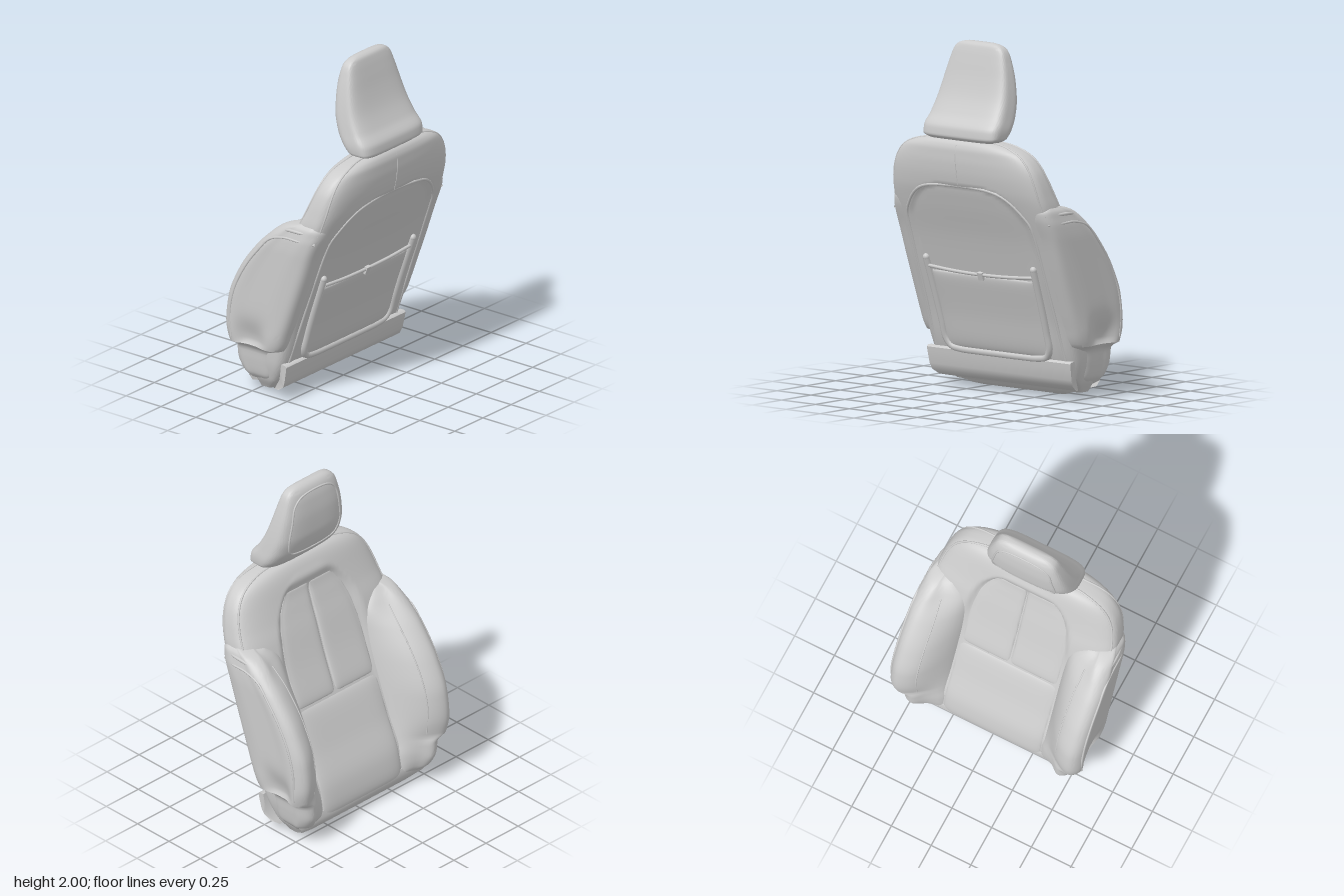
import * as THREE from 'three';
import { toCreasedNormals } from 'three/addons/utils/BufferGeometryUtils.js';

const material = new THREE.MeshStandardMaterial({ color: 0xcccccc, side: THREE.DoubleSide });
const V = (x, y, z) => new THREE.Vector3(x, y, z);
const { smoothstep, lerp, clamp } = THREE.MathUtils;

// Smooth, overshoot-free interpolation of rows [key, a, b, ...]
function track(rows) {
  const slope = (i, k) => (rows[i + 1][k] - rows[i][k]) / (rows[i + 1][0] - rows[i][0]);
  const tangent = (i, k) => {
    if (i === 0) return slope(0, k);
    if (i === rows.length - 1) return slope(i - 1, k);
    const a = slope(i - 1, k), b = slope(i, k);
    return a * b <= 0 ? 0 : (2 * a * b) / (a + b);
  };
  return (y) => {
    let i = 0;
    while (i < rows.length - 2 && y > rows[i + 1][0]) i++;
    const h = rows[i + 1][0] - rows[i][0];
    const t = clamp((y - rows[i][0]) / h, 0, 1), s = 1 - t;
    return rows[0].slice(1).map((_, j) => {
      const k = j + 1;
      return rows[i][k] * (1 + 2 * t) * s * s + rows[i + 1][k] * (1 + 2 * s) * t * t
        + h * t * s * (s * tangent(i, k) - t * tangent(i + 1, k));
    });
  };
}

function add(group, name, geometry) {
  const mesh = new THREE.Mesh(geometry, material);
  mesh.name = name;
  group.add(mesh);
  return mesh;
}

function gridGeometry(points, index, crease) {
  const g = new THREE.BufferGeometry().setFromPoints(points);
  g.setIndex(index);
  return toCreasedNormals(g, crease);
}

// Skin over horizontal rings ring(y) -> [[x, z], ...], capped at both ends
function loft(y0, y1, rows, ring) {
  const points = [], index = [];
  let n = 0;
  for (let j = 0; j <= rows; j++) {
    const t = j / rows, e = (1 - Math.cos(Math.PI * t)) / 2;
    const y = lerp(y0, y1, (t + e) / 2), r = ring(y);
    n = r.length;
    r.forEach(([x, z]) => points.push(V(x, y, z)));
  }
  for (let j = 0; j < rows; j++) for (let i = 0; i < n; i++) {
    const a = j * n + i, b = j * n + (i + 1) % n;
    index.push(a, a + n, b, b, a + n, b + n);
  }
  for (const [start, top] of [[0, false], [rows * n, true]]) {
    const c = points.length, mid = V(0, 0, 0);
    for (let i = 0; i < n; i++) mid.addScaledVector(points[start + i], 1 / n);
    points.push(mid);
    for (let i = 0; i < n; i++) {
      const a = start + i, b = start + (i + 1) % n;
      index.push(...(top ? [c, b, a] : [c, a, b]));
    }
  }
  return gridGeometry(points, index, 0.75);
}

// Padded sheet between two edges, laid on the surface x(y, z)
function sheet(y0, y1, edges, surface, puff) {
  const N = 28, points = [], index = [];
  const spread = (i) => Math.sin((i / N - 0.5) * Math.PI);
  for (let j = 0; j <= N; j++) for (let i = 0; i <= N; i++) {
    const u = spread(i), v = spread(j), y = lerp(y0, y1, (v + 1) / 2);
    const [za, zb] = edges(y), z = lerp(za, zb, (u + 1) / 2);
    points.push(V(surface(y, z) + puff * Math.sqrt((1 - u ** 8) * (1 - v ** 8)), y, z));
    if (i < N && j < N) {
      const a = j * (N + 1) + i, b = a + N + 1;
      index.push(...(puff > 0 ? [a, b, a + 1, a + 1, b, b + 1] : [a, a + 1, b, a + 1, b + 1, b]));
    }
  }
  return gridGeometry(points, index, 1);
}

const tube = (points, radius, closed = false) =>
  new THREE.TubeGeometry(new THREE.CatmullRomCurve3(points, closed), 90, radius, 8, closed);

// One half of a [y, z] path, continued as its mirror image
const mirrored = (half, middle = []) => [...half, ...middle, ...half.slice().reverse().map(([y, z]) => [y, -z])];

// Side profile run across the width, narrowing with height by half(y)
function crossBar(profile, half) {
  const shape = new THREE.Shape(profile.map(([x, y]) => new THREE.Vector2(x, y)));
  const g = new THREE.ExtrudeGeometry(shape, { depth: 2, steps: 1, bevelEnabled: false });
  const p = g.attributes.position;
  for (let i = 0; i < p.count; i++) p.setZ(i, (p.getZ(i) - 1) * half(p.getY(i))[0]);
  return toCreasedNormals(g, 0.8);
}

// Rounded section: x on the front (-1) or back (+1) at width fraction u
const bulge = (f, b, u, side, p) =>
  (f + b) / 2 + side * (b - f) / 2 * Math.pow(Math.max(0, 1 - Math.abs(u) ** p), 1 / p);

function sectionRing(w, xAt, n = 40) {
  const us = [];
  for (let i = -n; i <= n; i++) us.push(Math.sign(i) * (1 - (1 - Math.abs(i) / n) ** 2));
  const back = us.map((u) => [xAt(u * w, 1), u * w]);
  const front = us.slice(1, -1).reverse().map((u) => [xAt(u * w, -1), u * w]);
  return back.concat(front);
}

// Backrest: height, front x, back x, half width, insert x, insert half width, squareness
const body = track([
  [0.03, -0.25, -0.12, 0.46, -0.25, 0.31, 5], [0.1, -0.27, -0.05, 0.5, -0.27, 0.31, 5],
  [0.23, -0.25, 0.018, 0.53, -0.25, 0.31, 5], [0.45, -0.16, 0.085, 0.545, -0.155, 0.31, 5],
  [0.68, -0.075, 0.165, 0.55, -0.06, 0.31, 5], [0.9, 0, 0.243, 0.555, 0.03, 0.31, 4.6],
  [1.1, 0.06, 0.325, 0.562, 0.1, 0.29, 3.8], [1.2, 0.1, 0.361, 0.547, 0.137, 0.26, 3.4],
  [1.3, 0.135, 0.382, 0.52, 0.163, 0.2, 3.1], [1.36, 0.155, 0.387, 0.487, 0.155, 0.15, 3],
  [1.41, 0.175, 0.387, 0.435, 0.175, 0.1, 3], [1.445, 0.195, 0.378, 0.35, 0.195, 0.1, 3],
  [1.465, 0.215, 0.36, 0.24, 0.215, 0.1, 3], [1.475, 0.25, 0.335, 0.12, 0.25, 0.1, 3]]);

// Half width of the sunken rear panel
const panel = track([[0.22, 0.475], [0.5, 0.47], [0.85, 0.465], [1, 0.455], [1.08, 0.41], [1.15, 0.34],
  [1.185, 0.27], [1.205, 0.15], [1.21, 0]]);

function bodyX(y, z, side) {
  const [f, b, w, c, inset, p] = body(y), az = Math.abs(z);
  const x = bulge(f, b, Math.min(1, az / w), side, p);
  if (side > 0) return x - 0.012 * smoothstep(panel(y)[0] - az, 0, 0.05);
  return x + (c - f) * (1 - smoothstep(az, inset - 0.03, inset + 0.03));
}
const frontX = (y, z) => bodyX(y, z, -1), backX = (y, z) => bodyX(y, z, 1);
const onBack = (y, z, off = 0) => V(backX(y, z) + off, y, z);

// Side bolster: height, front x, back x, outer z, inner z
const wing = track([
  [0.085, -0.29, -0.11, 0.49, 0.3], [0.12, -0.33, -0.08, 0.515, 0.3], [0.2, -0.362, -0.06, 0.53, 0.3],
  [0.28, -0.364, -0.04, 0.54, 0.31], [0.31, -0.375, 0, 0.59, 0.31], [0.42, -0.392, 0.045, 0.6, 0.31],
  [0.57, -0.375, 0.1, 0.6, 0.31], [0.75, -0.3, 0.165, 0.6, 0.31], [0.93, -0.17, 0.228, 0.6, 0.315],
  [1.02, -0.08, 0.265, 0.595, 0.335], [1.06, -0.035, 0.28, 0.587, 0.36], [1.1, 0.03, 0.288, 0.577, 0.41],
  [1.125, 0.12, 0.275, 0.555, 0.45]]);

// Point where the bolster's front face is seamed
function wingSeam(y) {
  const [f, , o, iz] = wing(y), inner = Math.max(f + 0.03, frontX(y, iz) + 0.01);
  return [f + Math.min(0.045, (inner - f) * 0.4), (o + iz) / 2 - 0.015, inner];
}

// Bolster section, with a hollow low on the outer face
function wingRing(y, side) {
  const [f, b, o, iz] = wing(y), d = b - f, [seamX, seamZ, inner] = wingSeam(y);
  const hollow = 0.035 * Math.exp(-(((y - 0.35) / 0.1) ** 2)) * smoothstep(y, 0.28, 0.33);
  const pts = [[b - 0.02, iz], [b, o - 0.08], [b - 0.025, o - 0.025], [f + 0.78 * d, o - 0.004],
    [f + 0.55 * d, o - hollow], [f + 0.35 * d, o - hollow], [f + Math.min(0.06, 0.2 * d), o],
    [f + 0.012, o - 0.03], [f, o - 0.07], [seamX, seamZ], [inner, iz]];
  const ring = new THREE.CatmullRomCurve3(pts.map(([x, z]) => V(x, 0, z)), true).getPoints(55).slice(0, -1)
    .map((p) => [p.x, p.z * side]);
  return side > 0 ? ring : ring.reverse();
}

// Headrest: height, front x, back x, half width
const head = track([
  [1.465, 0.22, 0.365, 0.23], [1.485, 0.2, 0.386, 0.268], [1.53, 0.155, 0.382, 0.273], [1.6, 0.117, 0.332, 0.265],
  [1.7, 0.093, 0.28, 0.25], [1.8, 0.09, 0.247, 0.23], [1.9, 0.098, 0.222, 0.203], [1.96, 0.112, 0.206, 0.18],
  [1.99, 0.13, 0.194, 0.145], [2, 0.148, 0.176, 0.1]]);
const headX = (y, z, side) => {
  const [f, b, w] = head(y);
  return bulge(f, b, Math.min(1, Math.abs(z) / w), side, side > 0 ? 5 : 3.1);
};

export function createModel() {
  const seat = new THREE.Group();
  seat.name = 'seatBack';

  add(seat, 'backrest', loft(0.03, 1.475, 90, (y) => sectionRing(body(y)[2], (z, s) => bodyX(y, z, s))));
  add(seat, 'headrest', loft(1.465, 2, 44, (y) => sectionRing(head(y)[2], (z, s) => headX(y, z, s))));
  const headLoop = mirrored([[1.57, 0.1], [1.59, 0.17], [1.66, 0.195], [1.8, 0.18], [1.9, 0.155], [1.945, 0.1]]);
  add(seat, 'headrestPiping', tube(headLoop.map(([y, z]) => V(headX(y, z, -1), y, z)), 0.006, true));

  // Centre cushions: one lower pad and two upper pads meeting on a seam
  add(seat, 'lowerCushion', sheet(0.05, 0.68, () => [-0.31, 0.31], (y, z) => frontX(y, z) + 0.008, -0.022));
  for (const s of [1, -1]) {
    add(seat, 'upperCushion', sheet(0.68, 1.32, (y) => s > 0 ? [0, body(y)[4] - 0.01] : [0.01 - body(y)[4], 0],
      (y, z) => frontX(y, z) + 0.008, -0.02));
  }

  // Side bolsters with piping, seam and shoulder fold
  for (const s of [1, -1]) {
    add(seat, 'sideBolster', loft(0.085, 1.125, 60, (y) => wingRing(y, s)));
    const edge = [0.34, 0.5, 0.65, 0.8, 0.92, 1].map((y) => V(wing(y)[0] + 0.055, y, s * (wing(y)[2] - 0.002)));
    add(seat, 'bolsterPiping', tube([...edge, V(0.05, 1.03, s * 0.592), V(0.16, 1.03, s * 0.588),
      V(0.25, 1.025, s * 0.563)], 0.007));
    add(seat, 'shoulderFold', tube([V(-0.02, 1.04, s * 0.55), V(0.06, 1.075, s * 0.577), V(0.16, 1.08, s * 0.577),
      V(0.26, 1.075, s * 0.547)], 0.01));
    const seam = [0.33, 0.5, 0.65, 0.8, 0.95, 1.04].map((y) => V(wingSeam(y)[0], y, s * wingSeam(y)[1]));
    add(seat, 'bolsterSeam', tube(seam, 0.004));
  }

  // Piping on both edges of the upper shell, carried over the top under the headrest
  const arch = (u) => mirrored([1.1, 1.2, 1.28, 1.35, 1.4, 1.435, 1.46].map((y) => [y, body(y)[2] * u]), [[1.472, 0.1]]);
  add(seat, 'shoulderPiping', tube(arch(0.97).map(([y, z]) => V(frontX(y, z), y, z)), 0.006));
  add(seat, 'shellEdge', tube(arch(0.96).map(([y, z]) => onBack(y, z, -0.003)), 0.006));

  // Border around the sunken rear panel
  const border = mirrored([0.22, 0.4, 0.6, 0.8, 0.95, 1.02, 1.08, 1.13, 1.17, 1.195].map((y) => [y, panel(y)[0]]),
    [[1.205, 0]]);
  add(seat, 'rearPanelBorder', tube(border.map(([y, z]) => onBack(y, z, -0.003)), 0.009));
  add(seat, 'rearSeam', tube([1.215, 1.3, 1.38, 1.44].map((y) => onBack(y, 0)), 0.003));

  // Map pocket, its U-shaped rail and the elastic strap
  add(seat, 'mapPocket', sheet(0.23, 0.68, () => [-0.38, 0.38], (y, z) => backX(y, z) + 0.002, 0.014));
  const rail = mirrored([[0.75, 0.395], [0.55, 0.39], [0.38, 0.385], [0.28, 0.38], [0.238, 0.35], [0.225, 0.29],
    [0.222, 0.15]], [[0.222, 0]]);
  add(seat, 'pocketRail', tube(rail.map(([y, z]) => onBack(y, z, 0.004)), 0.021));
  for (const s of [1, -1]) {
    add(seat, 'railTip', new THREE.SphereGeometry(0.021, 12, 8)).position.copy(onBack(0.75, s * 0.395, 0.004));
  }
  add(seat, 'pocketStrap', tube([0.38, 0.2, 0, -0.2, -0.38].map((z) =>
    onBack(0.685 + 0.12 * z * z, z, 0.012)), 0.01));
  const clip = add(seat, 'strapClip', new THREE.BoxGeometry(0.02, 0.045, 0.035));
  clip.position.copy(onBack(0.678, 0, 0.015));
  clip.rotation.z = -0.34;

  // Lower trim lip and rounded underside
  add(seat, 'lowerTrim', crossBar([[-0.02, 0.225], [-0.035, 0.13], [-0.09, 0.07], [-0.105, 0.045], [-0.06, 0.055],
    [-0.015, 0.085], [0, 0.12], [0.014, 0.19], [0.018, 0.215], [0.008, 0.225]],
  track([[0.04, 0.47], [0.06, 0.51], [0.14, 0.525], [0.25, 0.53]])));
  add(seat, 'underside', crossBar([[-0.08, 0.13], [-0.27, 0.13], [-0.28, 0.09], [-0.268, 0.055], [-0.24, 0.02],
    [-0.2, 0], [-0.16, 0.012], [-0.125, 0.045], [-0.095, 0.1]],
  track([[0, 0.3], [0.02, 0.36], [0.06, 0.48], [0.13, 0.5]])));
  return seat;
}
